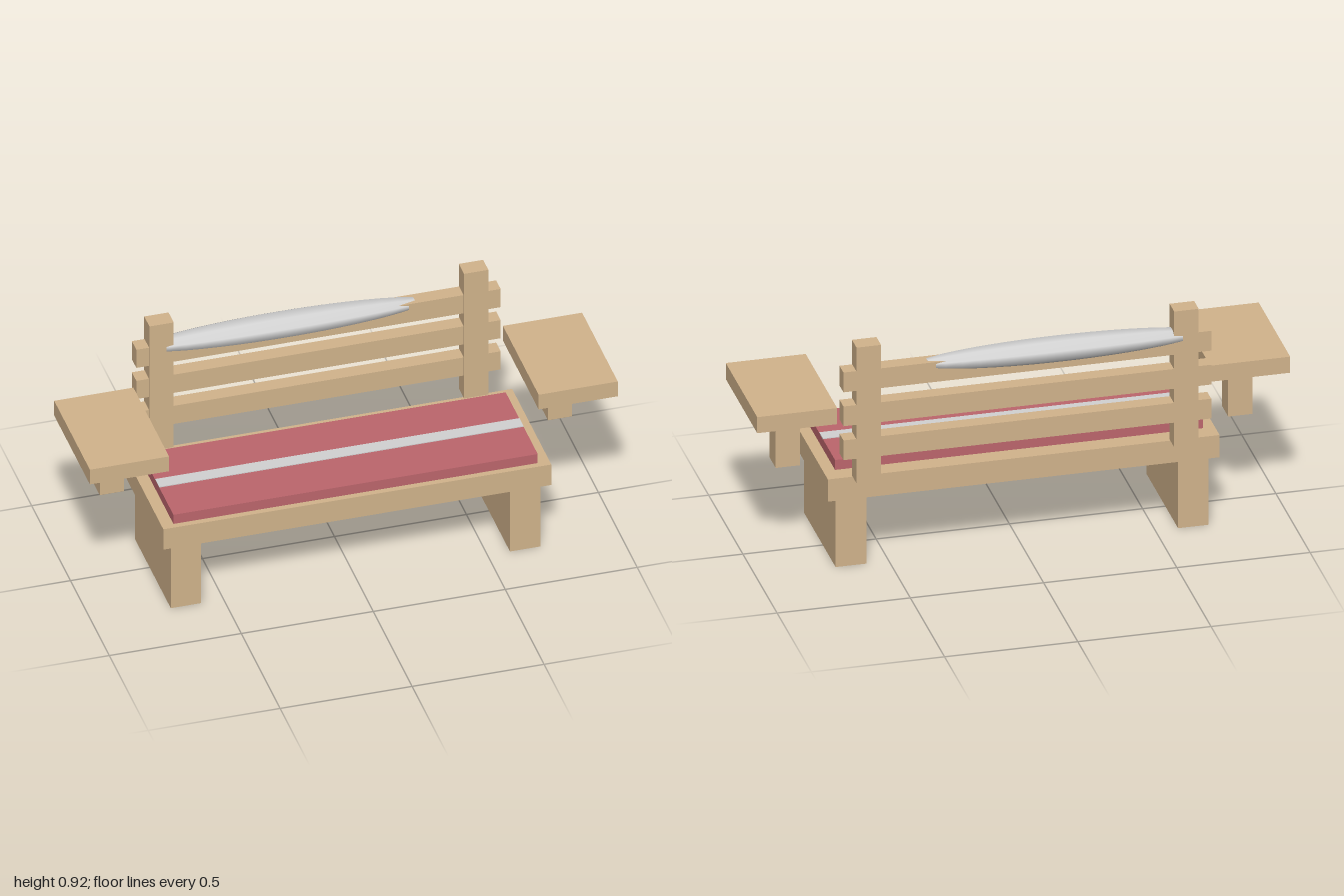
import * as THREE from 'three';

export function createModel() {
  const group = new THREE.Group();
  const mat = (name, color) => new THREE.MeshStandardMaterial({ name, color });
  const wood = mat('tan wood', 0xd2b48c);
  const red = mat('red fabric', 0xbd666d);
  const grey = mat('light grey', 0xd3d3d3);

  // Box given by its limits on each axis
  function box(name, material, [x0, x1], [y0, y1], [z0, z1]) {
    const mesh = new THREE.Mesh(new THREE.BoxGeometry(x1 - x0, y1 - y0, z1 - z0), material);
    mesh.position.set((x0 + x1) / 2, (y0 + y1) / 2, (z0 + z1) / 2);
    mesh.name = name;
    group.add(mesh);
  }
  // The same box on both sides
  function pair(name, [x0, x1], y, z) {
    box('left' + name, wood, [x0, x1], y, z);
    box('right' + name, wood, [-x1, -x0], y, z);
  }

  // Seat, cushion and its stripe
  box('seat', wood, [-0.735, 0.735], [0.28, 0.37], [-0.21, 0.295]);
  box('cushion', red, [-0.69, 0.69], [0.37, 0.41], [-0.14, 0.272]);
  box('cushionStripe', grey, [-0.69, 0.69], [0.408, 0.413], [0.037, 0.09]);

  // Legs, armrests and back posts
  pair('Leg', [0.585, 0.7], [0, 0.28], [-0.187, 0.272]);
  pair('ArmSupport', [0.803, 0.895], [0.37, 0.59], [-0.071, 0.02]);
  pair('Armrest', [0.7, 1], [0.59, 0.655], [-0.21, 0.25]);
  pair('BackPost', [0.55, 0.642], [0.37, 0.92], [-0.267, -0.2]);

  // Back slats
  for (let i = 0; i < 3; i++) {
    const y = 0.468 + i * 0.1375;
    box('backSlat' + (i + 1), wood, [-0.69, 0.69], [y, y + 0.08], [-0.263, -0.205]);
  }

  // Long eight-sided bolster resting along the top slat, with blunt ends
  const bolster = new THREE.Group();
  bolster.name = 'bolster';
  const half = 0.5;
  const radius = (d) => Math.sqrt(1 - (d / 0.545) ** 2) / Math.cos(Math.PI / 8);
  const profile = [];
  for (let i = 0; i <= 16; i++) {
    const d = -half + (i / 16) * 2 * half;
    profile.push(new THREE.Vector2(radius(d), d));
  }
  const body = new THREE.LatheGeometry(profile, 8, Math.PI / 8).rotateZ(-Math.PI / 2).scale(1, 0.042, 0.06);
  bolster.add(new THREE.Mesh(body, grey));
  for (const side of [-1, 1]) {
    const cap = new THREE.CircleGeometry(radius(half), 8, Math.PI / 8);
    cap.rotateY(side * Math.PI / 2).scale(1, 0.042, 0.06).translate(side * half, 0, 0);
    bolster.add(new THREE.Mesh(cap, grey));
  }
  bolster.children.forEach((m, i) => { m.name = ['bolsterBody', 'bolsterRightEnd', 'bolsterLeftEnd'][i]; });
  bolster.position.set(-0.13, 0.807, -0.234);
  group.add(bolster);

  return group;
}
